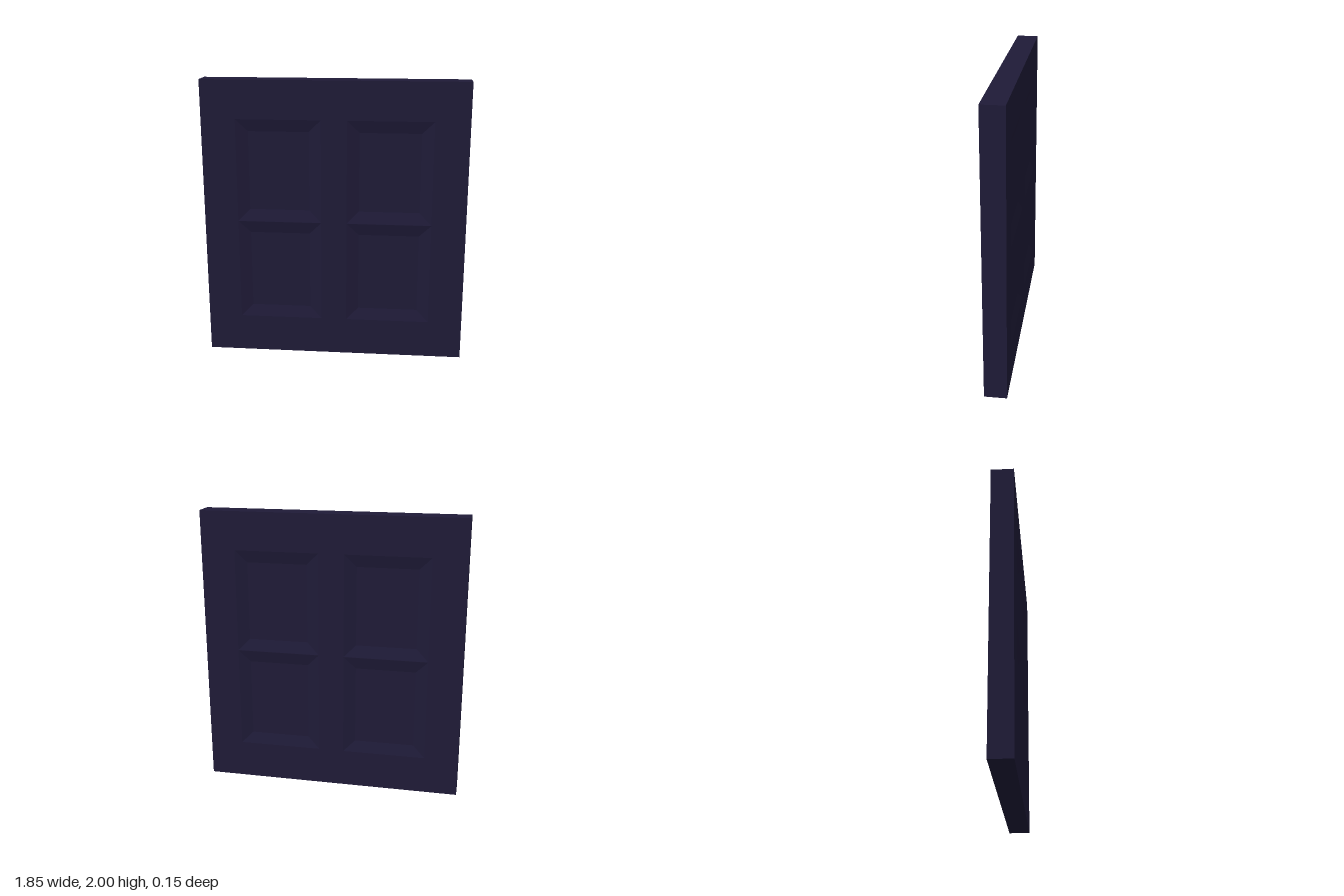
import * as THREE from 'three';

const W = 0.925, H = 2, Z = 0.077;      // panel half width, height, half thickness
const INSET = 0.085, DEPTH = 0.02;      // slope of the pocket walls
const material = new THREE.MeshStandardMaterial({ color: 0x1f1b38 });

// Corners of a rectangle, counter-clockwise seen from the front
const rect = (x0, y0, x1, y1, z) => [[x0, y0, z], [x1, y0, z], [x1, y1, z], [x0, y1, z]];

// Flat-shaded geometry from a list of quads
function quads(list) {
  const p = list.flatMap(([a, b, c, d]) => [a, b, c, a, c, d]).flat();
  const g = new THREE.BufferGeometry();
  g.setAttribute('position', new THREE.Float32BufferAttribute(p, 3));
  g.computeVertexNormals();
  return g;
}

// Four walls joining an outer rectangle to an inner one
const walls = (a, b) => a.map((c, i) => [c, a[(i + 1) % 4], b[(i + 1) % 4], b[i]]);

function part(name, geometry) {
  const mesh = new THREE.Mesh(geometry, material);
  mesh.name = name;
  return mesh;
}

// One face of the panel with two figure-eight digits sunk into it
function createFace(name) {
  const face = new THREE.Group();
  face.name = name;
  const outline = new THREE.Shape(rect(-W, 0, W, H, 0).map(([x, y]) => new THREE.Vector2(x, y)));
  for (const [x0, x1] of [[-0.685, -0.09], [0.09, 0.685]]) {
    for (const [y0, y1] of [[0.27, 1], [1, 1.73]]) {
      // Keep a hair of surface between the stacked pockets so the holes stay separate
      const lo = y0 === 1 ? 1.001 : y0, hi = y1 === 1 ? 0.999 : y1;
      const outer = rect(x0, lo, x1, hi, Z);
      const inner = rect(x0 + INSET, lo + INSET, x1 - INSET, hi - INSET, Z - DEPTH);
      outline.holes.push(new THREE.Path(outer.map(([x, y]) => new THREE.Vector2(x, y)).reverse()));
      face.add(part('digitPocket', quads([...walls(outer, inner), inner])));
    }
  }
  const plate = part('facePlate', new THREE.ShapeGeometry(outline));
  plate.position.z = Z;
  face.add(plate);
  return face;
}

export function createModel() {
  const model = new THREE.Group();
  model.name = 'digitPanel';

  // Outer edge of the slab
  model.add(part('rim', quads(walls(rect(-W, 0, W, H, -Z), rect(-W, 0, W, H, Z)))));

  // Same face on both sides
  const back = createFace('backFace');
  back.rotation.y = Math.PI;
  model.add(createFace('frontFace'), back);
  return model;
}
